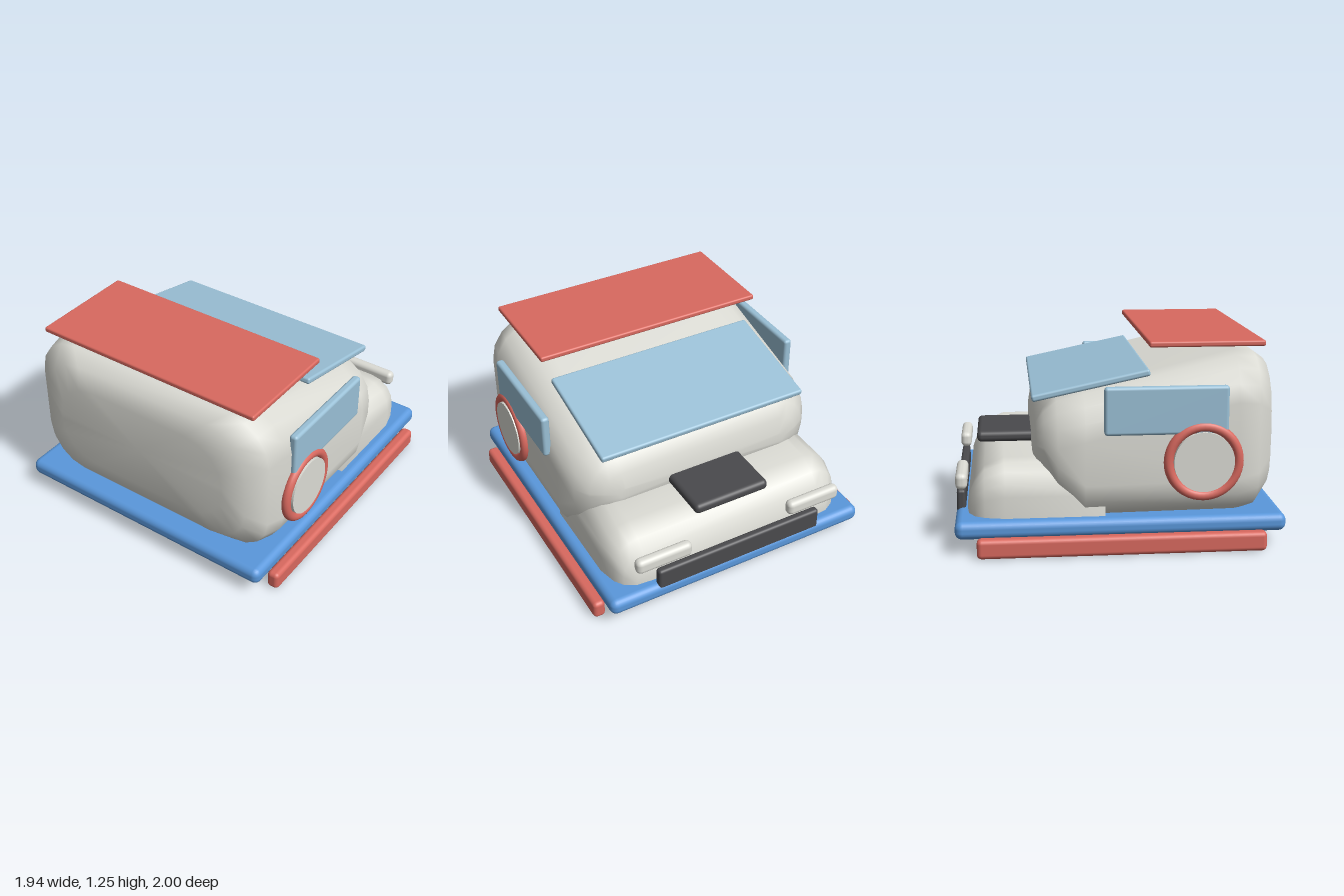
import * as THREE from 'three';
import { RoundedBoxGeometry } from 'three/addons/geometries/RoundedBoxGeometry.js';

const material = (name, color) => {
  const m = new THREE.MeshStandardMaterial({ color });
  m.name = name;
  return m;
};

// Closed smooth shell through rounded-rectangle sections, listed from +z to -z.
// Each section is [z, halfWidth, bottomY, topY].
function loftShell(sections, topRadius, bottomRadius) {
  const steps = 4, n = 4 * (steps + 1), pos = [], idx = [];
  for (const [z, hw, yb, yt] of sections) {
    const limit = Math.min(hw, (yt - yb) / 2) * 0.95;
    for (let k = 0; k < 4; k++) {
      const r = Math.min(k < 2 ? topRadius : bottomRadius, limit);
      const cx = (k === 0 || k === 3 ? 1 : -1) * (hw - r);
      const cy = k < 2 ? yt - r : yb + r;
      for (let s = 0; s <= steps; s++) {
        const a = (k + s / steps) * Math.PI / 2;
        pos.push(cx + r * Math.cos(a), cy + r * Math.sin(a), z);
      }
    }
  }
  for (let i = 0; i < sections.length - 1; i++) {
    for (let j = 0; j < n; j++) {
      const a = i * n + j, b = i * n + (j + 1) % n;
      idx.push(a, a + n, b, b, a + n, b + n);
    }
  }
  // End caps
  const first = sections[0], last = sections[sections.length - 1];
  const c0 = pos.length / 3, c1 = c0 + 1, base = (sections.length - 1) * n;
  pos.push(0, (first[2] + first[3]) / 2, first[0], 0, (last[2] + last[3]) / 2, last[0]);
  for (let j = 0; j < n; j++) {
    const k = (j + 1) % n;
    idx.push(c0, j, k, c1, base + k, base + j);
  }
  const g = new THREE.BufferGeometry();
  g.setAttribute('position', new THREE.Float32BufferAttribute(pos, 3));
  g.setIndex(idx);
  g.computeVertexNormals();
  return g;
}

export function createModel() {
  const model = new THREE.Group();
  model.name = 'vehicle';
  const cream = material('cream', 0xdcdcd5);
  const red = material('red', 0xd9695f);
  const blue = material('blue', 0x5a98dc);
  const glass = material('glassBlue', 0x9ac0d6);
  const dark = material('charcoal', 0x4a4a4d);

  const add = (name, geometry, mat, x = 0, y = 0, z = 0) => {
    const mesh = new THREE.Mesh(geometry, mat);
    mesh.name = name;
    mesh.position.set(x, y, z);
    model.add(mesh);
    return mesh;
  };
  const box = (name, mat, w, h, d, r, x, y, z) =>
    add(name, new RoundedBoxGeometry(w, h, d, 3, r), mat, x, y, z);

  // Floor slab
  box('baseSlab', blue, 1.82, 0.11, 2, 0.045, 0, 0.155, 0);

  // Cabin with a sloping roof
  add('cabin', loftShell([
    [0.957, 0.62, 0.42, 0.98],
    [0.92, 0.76, 0.29, 1.10],
    [0.83, 0.865, 0.21, 1.165],
    [0.70, 0.89, 0.18, 1.18],
    [-0.22, 0.89, 0.16, 0.955],
    [-0.38, 0.85, 0.27, 0.91],
    [-0.46, 0.78, 0.40, 0.83],
    [-0.505, 0.70, 0.49, 0.74],
    [-0.525, 0.60, 0.55, 0.63],
  ], 0.28, 0.25), cream);

  // Low nose
  add('nose', loftShell([
    [-0.1, 0.84, 0.12, 0.54],
    [-0.70, 0.84, 0.12, 0.54],
    [-0.82, 0.81, 0.12, 0.49],
    [-0.88, 0.77, 0.12, 0.41],
    [-0.918, 0.70, 0.12, 0.31],
    [-0.927, 0.60, 0.12, 0.24],
  ], 0.22, 0.03), cream);

  // Panels and dark trim
  box('roofPanel', red, 1.56, 0.035, 0.7, 0.012, 0, 1.237, 0.52);
  const windshield = box('windshield', glass, 1.44, 0.042, 0.73, 0.015, 0, 0.985, -0.173);
  windshield.rotation.x = -0.207;
  box('noseVent', dark, 0.52, 0.07, 0.38, 0.03, 0, 0.575, -0.68);
  box('bumper', dark, 1.17, 0.15, 0.055, 0.02, 0, 0.247, -0.967);

  // Mirrored side parts
  for (const [side, s] of [['left', 1], ['right', -1]]) {
    box(side + 'Skid', red, 0.08, 0.12, 1.74, 0.028, s * 0.932, 0.06, 0);
    box(side + 'Window', glass, 0.055, 0.29, 0.74, 0.02, s * 0.892, 0.865, 0.26);
    box(side + 'Lamp', cream, 0.38, 0.1, 0.072, 0.032, s * 0.54, 0.41, -0.96);
    const ring = add(side + 'WheelRing', new THREE.TorusGeometry(0.211, 0.03, 14, 48), red, s * 0.903, 0.553, 0.483);
    ring.rotation.y = Math.PI / 2;
    const hub = add(side + 'WheelHub', new THREE.CylinderGeometry(0.182, 0.182, 0.08, 40), cream, s * 0.895, 0.553, 0.483);
    hub.rotation.z = Math.PI / 2;
  }
  return model;
}
